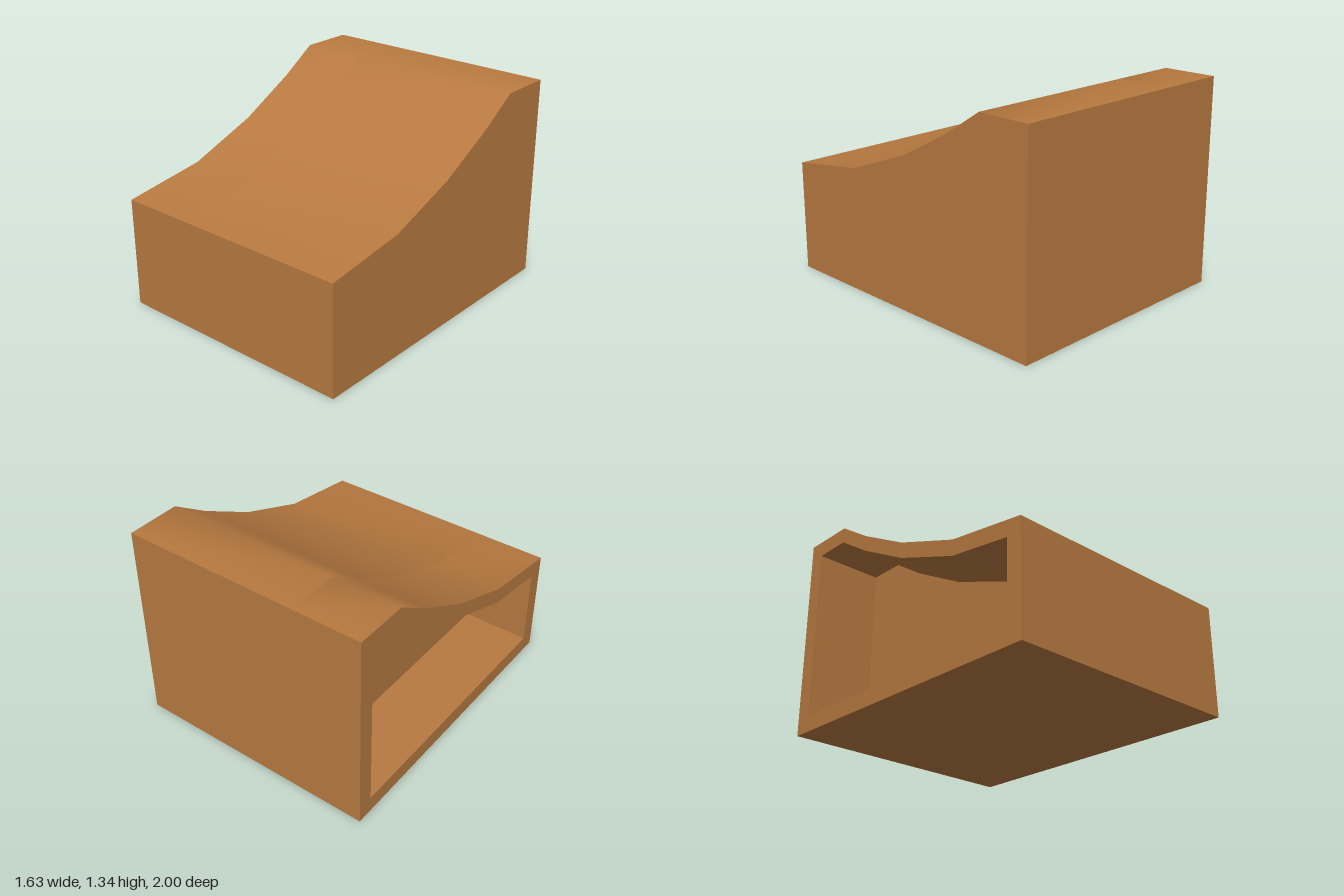
import * as THREE from 'three';
import { toCreasedNormals } from 'three/addons/utils/BufferGeometryUtils.js';

const HALF_WIDTH = 0.815;
const CAVITY_DEPTH = 0.45;
const WALL = 0.105;

// Sloping top edge of the side profile, as [z, y] from front to back
const slope = [[1, 0.72], [0.45, 0.8], [-0.02, 0.975], [-0.4, 1.18], [-0.645, 1.34], [-1, 1.34]];

// Closed side profile: the slope above a flat base
function outline(top, base) {
  const points = [[top[0][0], base], ...top, [top[top.length - 1][0], base]];
  return points.map(([z, y]) => new THREE.Vector2(z, y));
}

// Extrudes a side profile along x, from x0 to x1, smooth along the slope
function extrudeAcross(shape, x0, x1) {
  const geometry = new THREE.ExtrudeGeometry(shape, { depth: x1 - x0, bevelEnabled: false });
  geometry.rotateY(-Math.PI / 2);
  geometry.translate(x1, 0, 0);
  return toCreasedNormals(geometry, THREE.MathUtils.degToRad(45));
}

export function createModel() {
  const group = new THREE.Group();
  group.name = 'slopedBlock';

  const wood = new THREE.MeshStandardMaterial({ color: 0xb87a40 });
  wood.name = 'warm wood brown';

  const add = (name, geometry) => {
    const mesh = new THREE.Mesh(geometry, wood);
    mesh.name = name;
    group.add(mesh);
  };

  const cavityFloorX = -HALF_WIDTH + CAVITY_DEPTH;

  // Solid body, whose inner side closes the recess
  add('solidBody', extrudeAcross(new THREE.Shape(outline(slope, 0)), cavityFloorX, HALF_WIDTH));

  // Rim around the open recess: the profile dropped and trimmed by the wall thickness
  const inner = slope.map(([z, y]) => [z, y - WALL]);
  const frontRise = (slope[1][1] - slope[0][1]) / (slope[0][0] - slope[1][0]);
  inner[0] = [1 - WALL, slope[0][1] - WALL + WALL * frontRise];
  inner[inner.length - 1][0] = -1 + WALL;

  const rim = new THREE.Shape(outline(slope, 0));
  rim.holes.push(new THREE.Path(outline(inner, WALL)));
  add('recessRim', extrudeAcross(rim, -HALF_WIDTH, cavityFloorX));

  return group;
}
